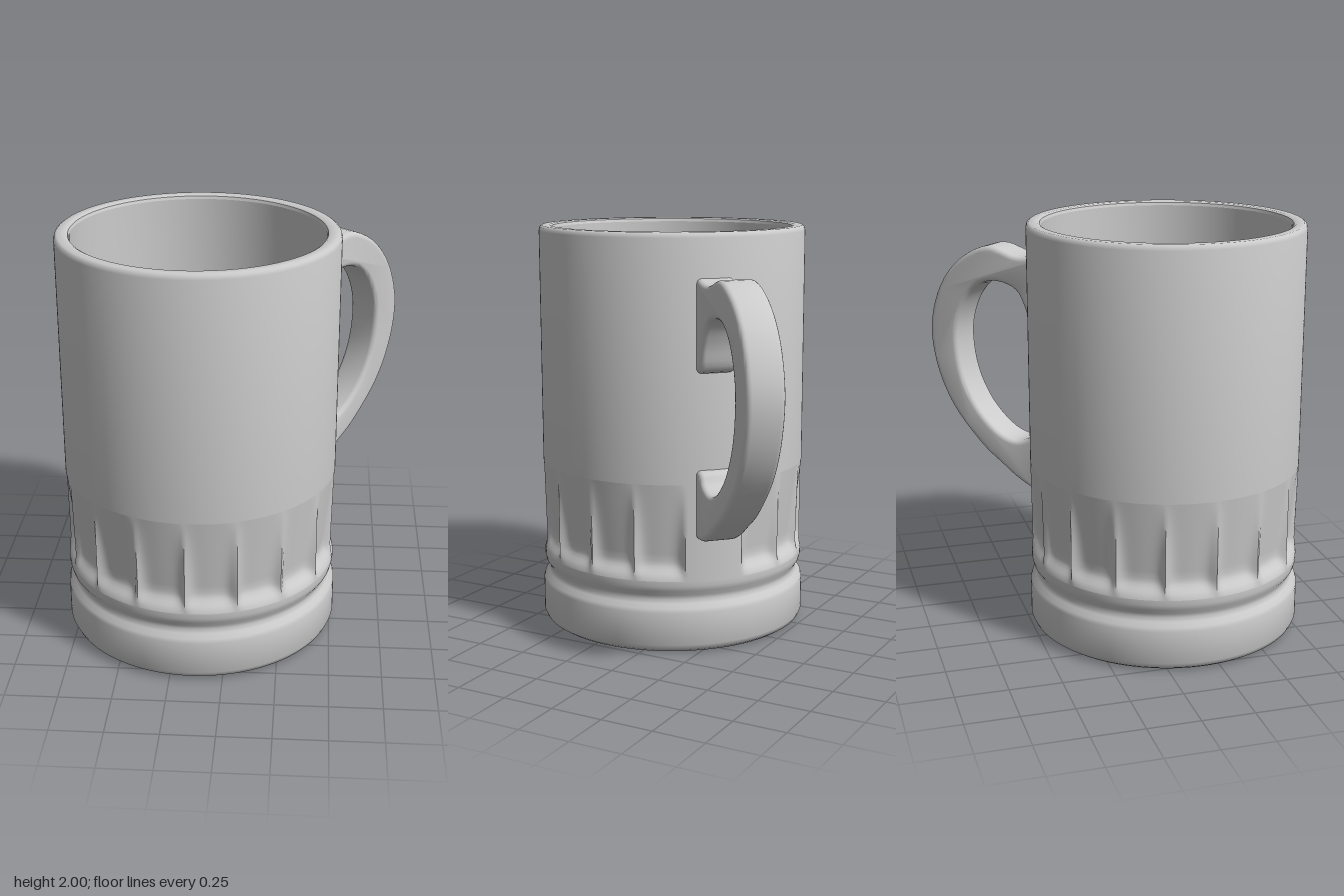
import * as THREE from 'three';
import { toCreasedNormals } from 'three/addons/utils/BufferGeometryUtils.js';

const DEG = Math.PI / 180;
const HANDLE_ANGLE = 136.3 * DEG; // measured from +z towards +x
const FLUTES = 16;
const PANEL = 25.2 * DEG; // plain panel under the handle
const WALL = 0.658;
const SEGMENTS = 320;

const material = new THREE.MeshStandardMaterial({ color: 0xcccccc, side: THREE.DoubleSide });
const points = (list) => list.map(([x, y]) => new THREE.Vector2(x, y));

function smoothMesh(name, geometry) {
  const mesh = new THREE.Mesh(toCreasedNormals(geometry, 0.7), material);
  mesh.name = name;
  return mesh;
}

function lathe(name, profile) {
  return smoothMesh(name, new THREE.LatheGeometry(points(profile), SEGMENTS, HANDLE_ANGLE));
}

// Band of scooped flutes, shallow at the top and rounded off at the bottom
function fluteBand(bottom, top) {
  const rows = 30;
  const profile = [];
  for (let i = 0; i <= rows; i++) profile.push([WALL, bottom + ((top - bottom) * i) / rows]);
  const geometry = new THREE.LatheGeometry(points(profile), SEGMENTS, HANDLE_ANGLE);
  const pos = geometry.attributes.position;
  const pitch = (2 * Math.PI - PANEL) / FLUTES;
  for (let i = 0; i < pos.count; i++) {
    const x = pos.getX(i), y = pos.getY(i), z = pos.getZ(i);
    const turn = (Math.atan2(x, z) - HANDLE_ANGLE + 4 * Math.PI) % (2 * Math.PI);
    const along = (turn - PANEL / 2) / pitch;
    if (along <= 0 || along >= FLUTES) continue;
    const u = Math.abs((along % 1) * 2 - 1);
    const across = 1 - u ** 5;
    const rise = THREE.MathUtils.smoothstep(y, bottom, bottom + 0.08);
    const fade = Math.min(1, (top - y) / 0.36);
    const scale = 1 - (0.042 * across * rise * fade) / WALL;
    pos.setXYZ(i, x * scale, y, z * scale);
  }
  return smoothMesh('fluteBand', geometry);
}

// Inner wall running into a rounded bowl floor
function interior(radius, wallBottom, floor) {
  const profile = [[radius, 1.98]];
  const steps = 16;
  for (let i = 0; i <= steps; i++) {
    const a = (i / steps) * Math.PI / 2;
    profile.push([radius * Math.cos(a), wallBottom - (wallBottom - floor) * Math.sin(a)]);
  }
  return lathe('interior', profile);
}

// Curved handle with flared ends, drawn as a side outline and given rounded edges
function handle() {
  const outer = new THREE.SplineCurve(points([
    [0.63, 0.565], [0.71, 0.57], [0.8, 0.61], [0.89, 0.67], [1.02, 0.765], [1.185, 0.945],
    [1.283, 1.15], [1.312, 1.37], [1.25, 1.58], [1.125, 1.73], [0.955, 1.81],
    [0.8, 1.775], [0.72, 1.775], [0.63, 1.8],
  ]));
  const inner = new THREE.SplineCurve(points([
    [0.63, 1.35], [0.7, 1.38], [0.735, 1.5], [0.79, 1.6], [0.9, 1.635], [1.01, 1.61],
    [1.1, 1.51], [1.15, 1.35], [1.13, 1.15], [1.05, 0.98], [0.93, 0.86], [0.82, 0.815],
    [0.73, 0.84], [0.69, 0.89], [0.63, 0.9],
  ]));
  const shape = new THREE.Shape([...outer.getPoints(60), ...inner.getPoints(60)]);
  const width = 0.18, bevel = 0.025;
  const geometry = new THREE.ExtrudeGeometry(shape, {
    depth: width - 2 * bevel, bevelEnabled: true, bevelSize: bevel,
    bevelThickness: bevel, bevelOffset: -bevel, bevelSegments: 4,
  });
  geometry.translate(0, 0, -width / 2 + bevel);
  const mesh = smoothMesh('handle', geometry);
  mesh.rotation.y = HANDLE_ANGLE - Math.PI / 2;
  return mesh;
}

export function createModel() {
  const mug = new THREE.Group();
  mug.name = 'mug';
  // Foot ring, groove and bead
  mug.add(lathe('base', [
    [0, 0.01], [0.59, 0.01], [0.598, 0], [0.63, 0.004], [0.654, 0.02], [0.666, 0.045],
    [0.666, 0.205], [0.66, 0.225], [0.64, 0.245], [0.632, 0.265], [0.636, 0.285],
    [0.652, 0.31], [0.658, 0.335], [WALL, 0.36],
  ]));
  mug.add(fluteBand(0.36, 0.83));
  // Plain wall and rounded rim
  mug.add(lathe('wall', [
    [WALL, 0.83], [WALL, 1.975], [0.653, 1.992], [0.642, 2], [0.604, 2], [0.593, 1.994], [0.588, 1.98],
  ]));
  mug.add(interior(0.588, 0.5, 0.13));
  mug.add(handle());
  mug.position.set(-0.147, 0, 0.168);
  const model = new THREE.Group();
  model.add(mug);
  return model;
}
